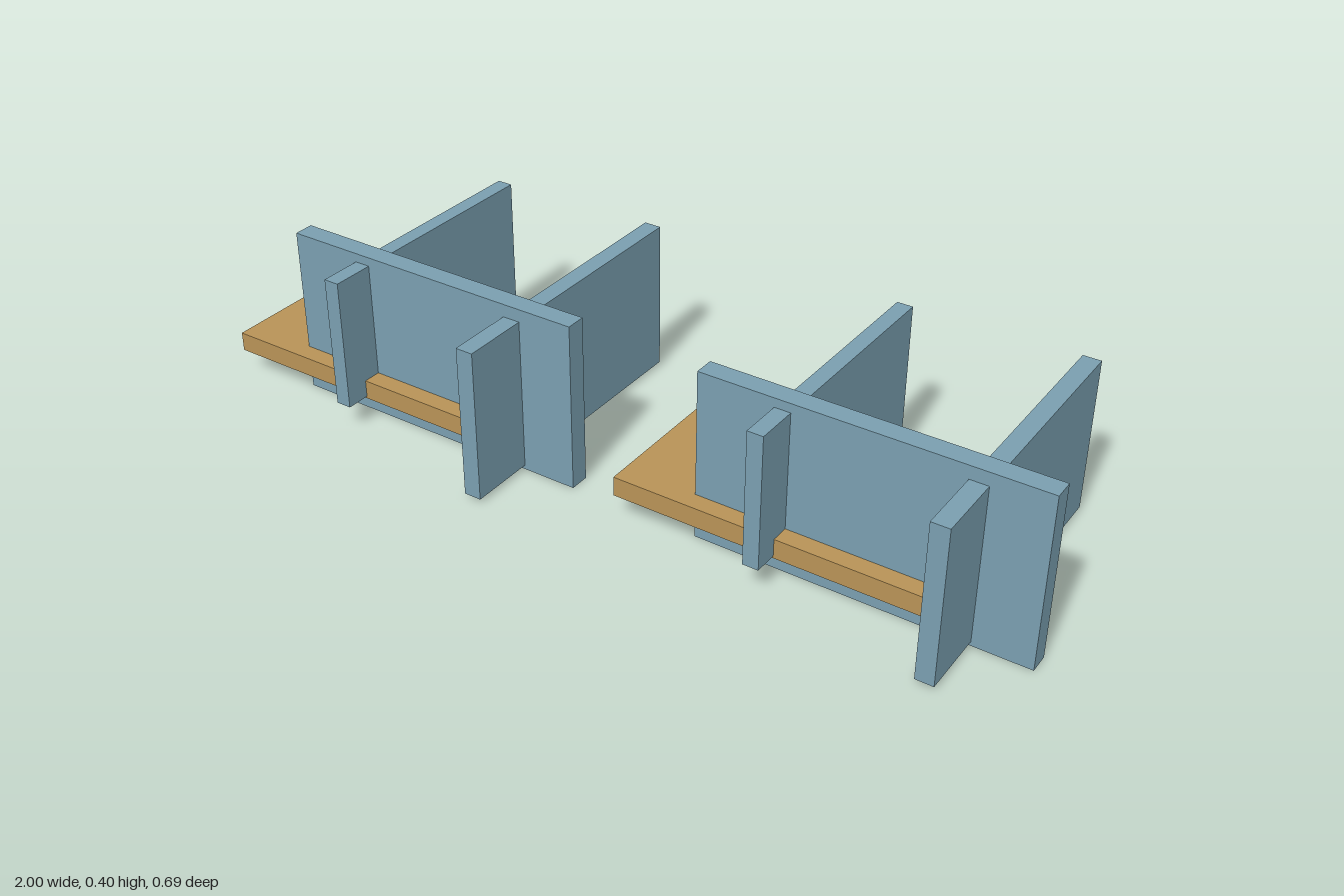
import * as THREE from 'three';

const blue = new THREE.MeshStandardMaterial({ color: 0x7a9fb0 });
blue.name = 'blue grey';
const tan = new THREE.MeshStandardMaterial({ color: 0xb89357 });
tan.name = 'tan wood';

// Box given by its lower and upper corners
function box(name, mat, [x0, y0, z0], [x1, y1, z1]) {
  const mesh = new THREE.Mesh(new THREE.BoxGeometry(x1 - x0, y1 - y0, z1 - z0), mat);
  mesh.position.set((x0 + x1) / 2, (y0 + y1) / 2, (z0 + z1) / 2);
  mesh.name = name;
  return mesh;
}

function createTap() {
  const tap = new THREE.Group();
  tap.name = 'tap';
  // Curved spout rising from the base and hooking down over the basin
  const path = new THREE.CatmullRomCurve3([
    [-0.44, 0.105, 0.046], [-0.44, 0.14, 0.046], [-0.45, 0.148, 0.04],
    [-0.462, 0.146, 0.026], [-0.464, 0.138, 0.018], [-0.464, 0.115, 0.017],
  ].map((p) => new THREE.Vector3(...p)));
  const spout = new THREE.Mesh(new THREE.TubeGeometry(path, 20, 0.004, 8), blue);
  spout.name = 'spout';
  const base = new THREE.Mesh(new THREE.CylinderGeometry(0.007, 0.008, 0.012, 12), blue);
  base.position.set(-0.44, 0.111, 0.046);
  base.name = 'tapBase';
  tap.add(spout, base, box('tapHandle', blue, [-0.44, 0.13, 0.04], [-0.425, 0.136, 0.052]));
  return tap;
}

function createUnit() {
  const unit = new THREE.Group();
  unit.name = 'counterUnit';

  // Counter slab with basin plate and drain
  unit.add(box('counter', tan, [-1, 0.06, -0.17], [-0.235, 0.106, 0.23]));
  unit.add(box('basin', tan, [-0.5, 0.105, -0.038], [-0.375, 0.107, 0.028]));
  const drain = new THREE.Mesh(new THREE.CylinderGeometry(0.005, 0.005, 0.002, 12), blue);
  drain.position.set(-0.391, 0.1075, -0.028);
  drain.name = 'drain';
  unit.add(drain, createTap());

  // Long front wall and the two cross walls
  unit.add(box('longWall', blue, [-0.826, 0, 0.14], [-0.07, 0.4, 0.187]));
  unit.add(box('tallCrossWall', blue, [-0.241, 0.01, -0.344], [-0.2, 0.37, 0.344]));
  const inner = box('innerCrossWall', blue, [-0.649, 0.065, -0.317], [-0.612, 0.379, 0.287]);
  inner.rotation.y = -0.008; // stands slightly askew
  unit.add(inner);
  return unit;
}

export function createModel() {
  const model = new THREE.Group();
  model.name = 'counterUnits';
  for (const x of [0, 1.067]) {
    const unit = createUnit();
    unit.position.x = x;
    model.add(unit);
  }
  return model;
}
